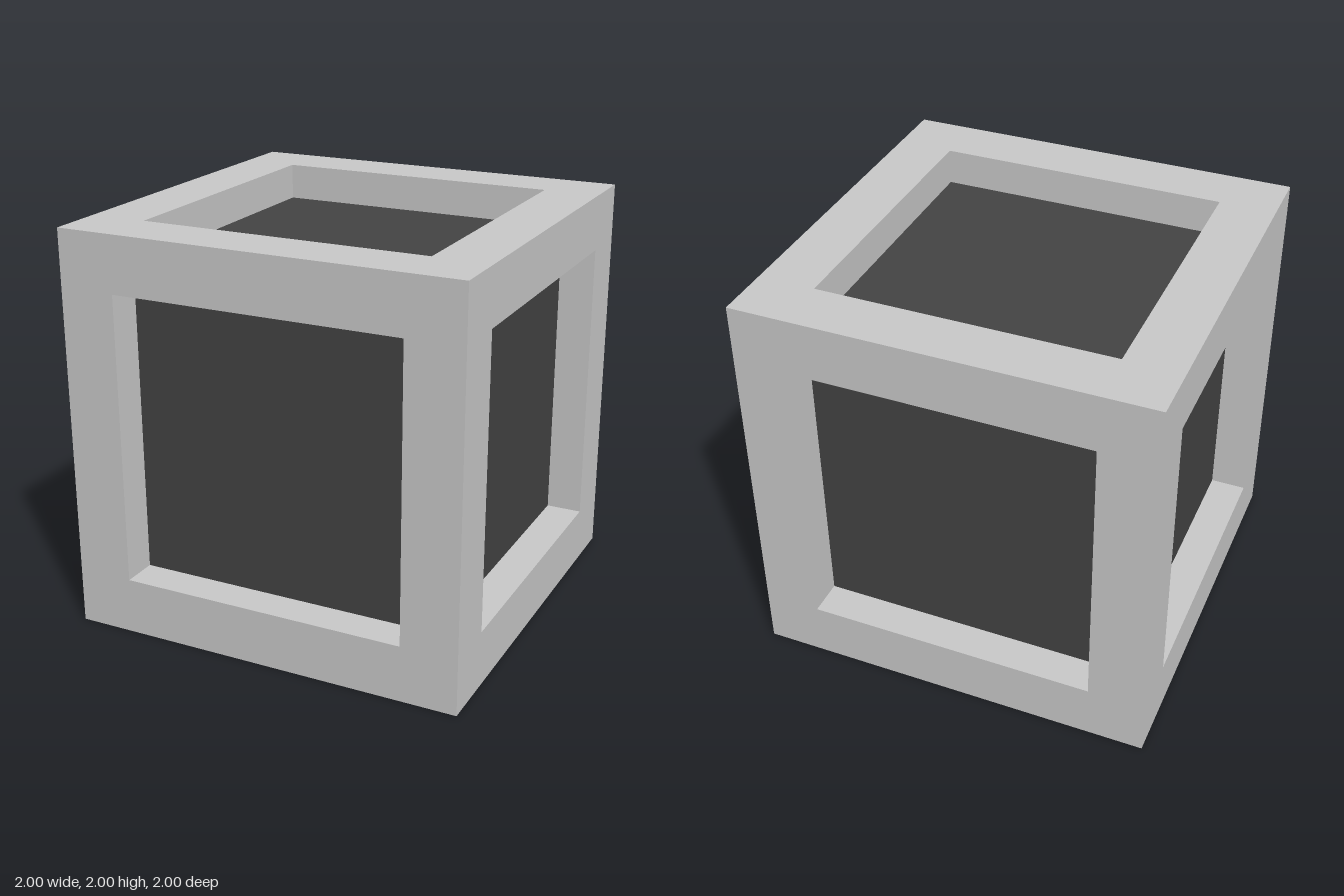
import * as THREE from 'three';
import { mergeGeometries } from 'three/addons/utils/BufferGeometryUtils.js';

const HALF = 1;       // half the cube's edge
const OPENING = 0.72; // half the width of each square opening
const DEPTH = 0.18;   // how far each panel is set back

// Square frame face with the four inner walls of its opening
function frameGeometry() {
  const square = (h) => [[-h, -h], [h, -h], [h, h], [-h, h]].map(([x, y]) => new THREE.Vector2(x, y));
  const shape = new THREE.Shape(square(HALF));
  shape.holes.push(new THREE.Path(square(OPENING).reverse()));
  const parts = [new THREE.ShapeGeometry(shape).translate(0, 0, HALF)];
  for (let i = 0; i < 4; i++) {
    parts.push(new THREE.PlaneGeometry(2 * OPENING, DEPTH)
      .rotateX(-Math.PI / 2)
      .translate(0, -OPENING, HALF - DEPTH / 2)
      .rotateZ(i * Math.PI / 2));
  }
  return mergeGeometries(parts);
}

export function createModel() {
  const model = new THREE.Group();
  model.name = 'framedCube';
  const frameMaterial = new THREE.MeshStandardMaterial({ color: 0xcccccc });
  const panelMaterial = new THREE.MeshStandardMaterial({ color: 0x444444 });
  const frame = frameGeometry();
  const panel = new THREE.PlaneGeometry(2 * OPENING, 2 * OPENING).translate(0, 0, HALF - DEPTH);

  // The same side turned to face all six directions
  const q = Math.PI / 2;
  const sides = {
    front: [0, 0], left: [0, q], back: [0, 2 * q], right: [0, -q], top: [-q, 0], bottom: [q, 0],
  };
  for (const [name, [rx, ry]] of Object.entries(sides)) {
    const side = new THREE.Group();
    side.name = name + 'Side';
    const frameMesh = new THREE.Mesh(frame, frameMaterial);
    frameMesh.name = name + 'Frame';
    const panelMesh = new THREE.Mesh(panel, panelMaterial);
    panelMesh.name = name + 'Panel';
    side.add(frameMesh, panelMesh);
    side.rotation.set(rx, ry, 0);
    side.position.y = HALF;
    model.add(side);
  }
  return model;
}
